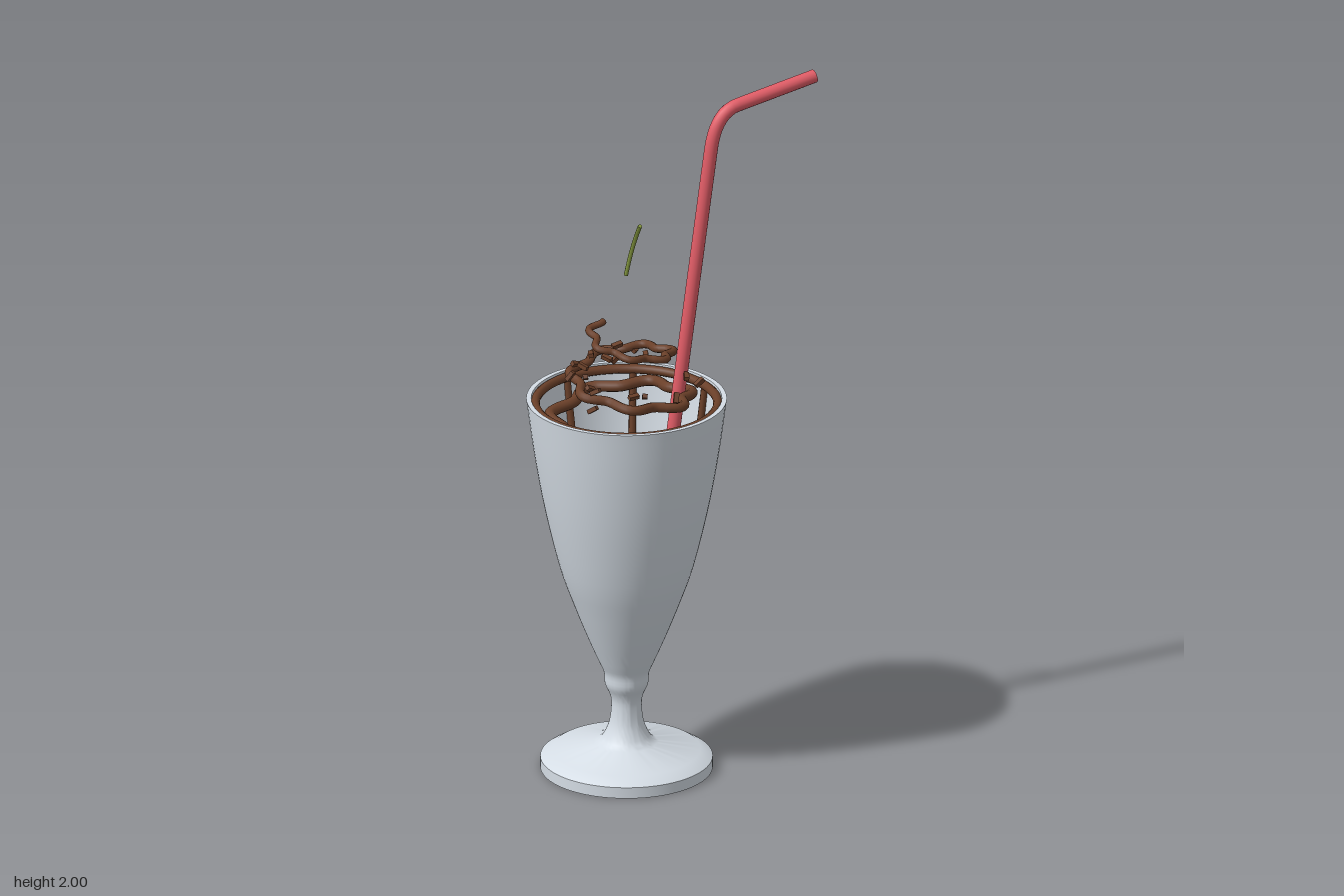
import * as THREE from 'three';
import { mergeGeometries, toCreasedNormals } from 'three/addons/utils/BufferGeometryUtils.js';

const CX = -0.14; // axis of the glass
const material = (name, color) => new THREE.MeshStandardMaterial({ name, color });
const V = (x, y, z) => new THREE.Vector3(x, y, z);

// Solid tube along a curve, tapering from r0 to r1, with flat ends
function taperedTube(curve, segments, r0, r1, sides = 12) {
  const tube = new THREE.TubeGeometry(curve, segments, r0, sides, false);
  const pos = tube.attributes.position;
  const v = new THREE.Vector3();
  for (let i = 0; i <= segments; i++) {
    const c = curve.getPointAt(i / segments);
    const s = 1 + (r1 / r0 - 1) * (i / segments);
    for (let j = 0; j <= sides; j++) {
      const k = i * (sides + 1) + j;
      v.fromBufferAttribute(pos, k).sub(c).multiplyScalar(s).add(c);
      pos.setXYZ(k, v.x, v.y, v.z);
    }
  }
  const caps = [[0, r0, -1], [1, r1, 1]].map(([t, r, sign]) => {
    const cap = new THREE.CircleGeometry(r, sides);
    const dir = curve.getTangentAt(t).multiplyScalar(sign);
    cap.applyQuaternion(new THREE.Quaternion().setFromUnitVectors(V(0, 0, 1), dir));
    const p = curve.getPointAt(t);
    return cap.translate(p.x, p.y, p.z);
  });
  return mergeGeometries([tube, ...caps]);
}

export function createModel() {
  const model = new THREE.Group();
  model.name = 'milkshakeGlass';
  const glassMat = material('paleGlass', 0xd5dde5);
  const chocolateMat = material('chocolate', 0x6b4029);
  const strawMat = material('redStraw', 0xe05c66);
  const stemMat = material('greenStem', 0x83963f);

  const add = (name, geometry, mat, parent = model) => {
    const mesh = new THREE.Mesh(geometry, mat);
    mesh.name = name;
    parent.add(mesh);
    return mesh;
  };

  // Footed glass: one closed profile, outside then inside
  const curve2 = (pts, n) =>
    new THREE.SplineCurve(pts.map(([r, y]) => new THREE.Vector2(r, y))).getPoints(n);
  const foot = [[0, 0], [0.239, 0], [0.239, 0.032], [0.205, 0.053]]
    .map(([r, y]) => new THREE.Vector2(r, y));
  const outer = curve2([[0.09, 0.073], [0.068, 0.09], [0.048, 0.135], [0.042, 0.19], [0.047, 0.22],
    [0.06, 0.25], [0.063, 0.285], [0.078, 0.32], [0.11, 0.395], [0.147, 0.49], [0.185, 0.6],
    [0.228, 0.78], [0.258, 0.95], [0.278, 1.1]], 44);
  const inner = curve2([[0.264, 1.1], [0.244, 0.95], [0.214, 0.78], [0.17, 0.6],
    [0.13, 0.49], [0.09, 0.395], [0.05, 0.34], [0, 0.325]], 28);
  const glass = new THREE.LatheGeometry([...foot, ...outer, ...inner], 64);
  add('glass', toCreasedNormals(glass, 0.6), glassMat).position.x = CX;

  // Radius of the inner wall at a height
  const wallRadius = (y) => {
    const i = Math.max(1, inner.findIndex((p) => p.y <= y));
    const a = inner[i - 1], b = inner[i];
    return a.x + (b.x - a.x) * (a.y - y) / (a.y - b.y);
  };

  // Chocolate ring just inside the rim
  const ring = add('chocolateRing', new THREE.TorusGeometry(0.253, 0.013, 10, 64), chocolateMat);
  ring.rotation.x = Math.PI / 2;
  ring.position.set(CX, 1.085, 0);

  // Drips running down the inner wall: angle in degrees, length
  const drips = new THREE.Group();
  drips.name = 'chocolateDrips';
  model.add(drips);
  for (const [deg, length] of [[-4, 0.14], [28, 0.24], [65, 0.16], [110, 0.22], [148, 0.3],
    [180, 0.15], [217, 0.2], [258, 0.16], [302, 0.22]]) {
    const a = THREE.MathUtils.degToRad(deg);
    const pts = [0, 0.33, 0.66, 1].map((t) => {
      const y = 1.085 - length * t;
      const r = wallRadius(y) - 0.006;
      return V(CX + r * Math.cos(a), y, r * Math.sin(a));
    });
    add('drip', taperedTube(new THREE.CatmullRomCurve3(pts), 10, 0.01, 0.011, 8), chocolateMat, drips);
    const tip = add('dripTip', new THREE.SphereGeometry(0.013, 10, 8), chocolateMat, drips);
    tip.position.copy(pts[3]);
  }

  // Wavy sauce swirl climbing and narrowing around the axis
  const swirlPoints = [];
  for (let i = 0; i <= 150; i++) {
    const t = i / 150;
    const deg = 47 + 918 * t;
    const a = THREE.MathUtils.degToRad(deg);
    const wave = (0.019 - 0.008 * t) * Math.cos(7 * THREE.MathUtils.degToRad(deg - 267));
    const r = 0.22 - 0.13 * t + wave;
    swirlPoints.push(V(CX + r * Math.cos(a), 0.98 + 0.33 * t, r * Math.sin(a)));
  }
  add('sauceSwirl', taperedTube(new THREE.CatmullRomCurve3(swirlPoints), 320, 0.019, 0.01, 10), chocolateMat);

  // Chocolate shavings scattered on a cone: x, z
  const chips = new THREE.Group();
  chips.name = 'chocolateShavings';
  model.add(chips);
  const spots = [[-0.06, -0.215], [-0.09, -0.21], [-0.01, -0.13], [-0.12, -0.093], [-0.065, -0.105],
    [-0.2, -0.096], [-0.245, -0.1], [-0.255, -0.04], [-0.275, 0.012], [-0.285, 0.06], [-0.28, 0.08],
    [-0.17, 0.165], [-0.2, 0.155], [-0.29, -0.05], [0.0, 0.09], [0.04, 0.09], [-0.31, 0.12], [-0.08, 0.18]];
  spots.forEach(([x, z], i) => {
    const r = Math.hypot(x - CX, z);
    const chip = add('shaving', new THREE.BoxGeometry(0.03, 0.012, 0.014), chocolateMat, chips);
    chip.position.set(x, 1.29 - 0.72 * r, z);
    chip.rotation.set(0.5 * Math.sin(i * 2.3), i * 2.1, 0.6 * Math.cos(i * 1.7));
  });

  // Bent drinking straw
  const low = V(-0.087, 0.45, 0.03), bendStart = V(0.09, 1.82, 0.065);
  const bendEnd = V(0.17, 1.94, 0.067), tip = V(0.414, 1.981, 0.067);
  const path = new THREE.CurvePath();
  path.add(new THREE.LineCurve3(low, bendStart));
  path.add(new THREE.QuadraticBezierCurve3(bendStart, V(0.104, 1.928, 0.067), bendEnd));
  path.add(new THREE.LineCurve3(bendEnd, tip));
  add('straw', taperedTube(path, 110, 0.019, 0.019, 16), strawMat);

  // Curved fruit stem above the swirl
  const stem = new THREE.CatmullRomCurve3([V(-0.142, 1.468, 0), V(-0.134, 1.53, 0.012),
    V(-0.131, 1.585, 0.034), V(-0.134, 1.637, 0.068)]);
  add('fruitStem', taperedTube(stem, 16, 0.006, 0.006, 8), stemMat);

  return model;
}
